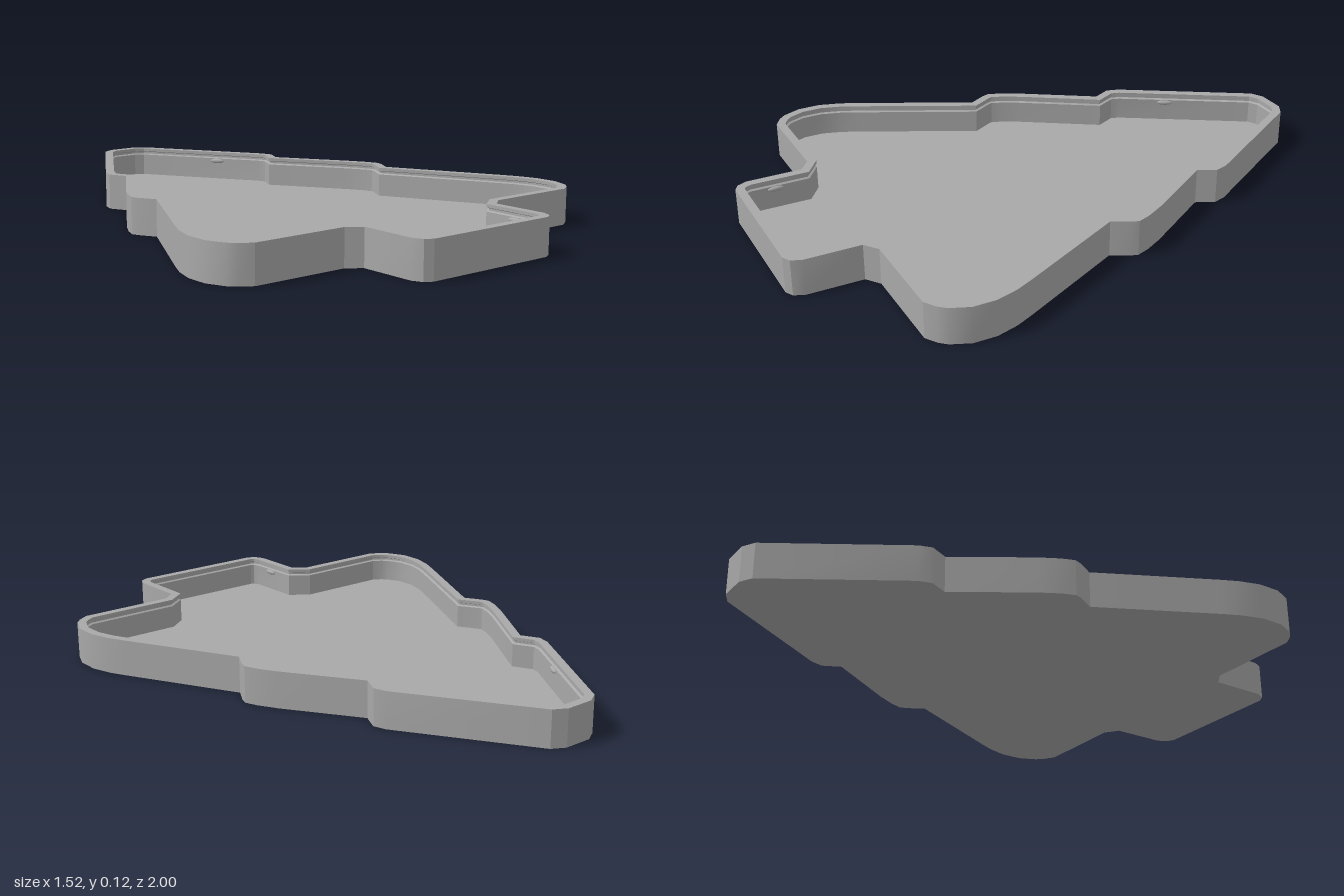
import * as THREE from 'three';
import { toCreasedNormals } from 'three/addons/utils/BufferGeometryUtils.js';

// Right half of the tree outline as [x, z], from tip to trunk base
const HALF = [
  [0.05, -1], [0.095, -0.975], [0.362, -0.545], [0.375, -0.5], [0.345, -0.437],
  [0.505, -0.19], [0.54, -0.125], [0.556, -0.08], [0.548, -0.055], [0.515, 0.005],
  [0.71, 0.39], [0.738, 0.45], [0.76, 0.525], [0.76, 0.605], [0.733, 0.67], [0.71, 0.695], [0.67, 0.72],
  [0.335, 0.72], [0.287, 0.755], [0.287, 0.95], [0.272, 0.985], [0.245, 1],
];

// Full outline in plan (y = -z), counter-clockwise
const OUTLINE = [
  ...HALF.map(([x, z]) => new THREE.Vector2(-x, -z)),
  ...HALF.slice().reverse().map(([x, z]) => new THREE.Vector2(x, -z)),
];

// Moves the outline inward by d with mitred corners
function inset(d) {
  const n = OUTLINE.length;
  const normal = (a, b) => new THREE.Vector2(a.y - b.y, b.x - a.x).normalize();
  return OUTLINE.map((p, i) => {
    const n1 = normal(OUTLINE[(i + n - 1) % n], p);
    const n2 = normal(p, OUTLINE[(i + 1) % n]);
    const m = n1.clone().add(n2);
    return p.clone().addScaledVector(m, d / (1 + n1.dot(n2)));
  });
}

// Sweeps a profile of [inset, height] pairs around the outline
function sweep(profile) {
  const rings = profile.map(([d, y]) => inset(d).map((p) => [p.x, y, -p.y]));
  const pos = [];
  const n = OUTLINE.length;
  for (let k = 0; k < rings.length - 1; k++) {
    for (let i = 0; i < n; i++) {
      const j = (i + 1) % n;
      const a = rings[k][i], b = rings[k][j], c = rings[k + 1][j], e = rings[k + 1][i];
      pos.push(...a, ...b, ...c, ...a, ...c, ...e);
    }
  }
  const g = new THREE.BufferGeometry();
  g.setAttribute('position', new THREE.Float32BufferAttribute(pos, 3));
  return toCreasedNormals(g, 0.5);
}

export function createModel() {
  const group = new THREE.Group();
  group.name = 'treeTray';
  const grey = new THREE.MeshStandardMaterial({ color: 0xa8a8a8 });
  grey.name = 'plain grey';

  const H = 0.125, WALL = 0.03, FLOOR = 0.02;
  const add = (name, geometry) => {
    const mesh = new THREE.Mesh(geometry, grey);
    mesh.name = name;
    group.add(mesh);
    return mesh;
  };

  // Wall with a shallow snap groove beneath the rim
  add('wall', sweep([
    [0, 0], [0, H], [WALL, H], [WALL, 0.114],
    [0.023, 0.111], [0.023, 0.104], [WALL, 0.1], [WALL, FLOOR],
  ]));

  // Floor, upper and lower faces
  const top = add('floor', new THREE.ShapeGeometry(new THREE.Shape(inset(WALL))));
  top.rotation.x = -Math.PI / 2;
  top.position.y = FLOOR;
  const base = new THREE.ShapeGeometry(new THREE.Shape(OUTLINE.map((p) => new THREE.Vector2(p.x, -p.y)).reverse()));
  add('underside', base).rotation.x = Math.PI / 2;

  // Small oval snap bumps inside the trunk and the top tier
  const bump = new THREE.SphereGeometry(1, 16, 10);
  for (const side of [-1, 1]) {
    for (const [name, x, z, angle] of [['trunkBump', 0.257, 0.86, 0], ['topTierBump', 0.242, -0.68, 0.555]]) {
      const mesh = add(name, bump);
      mesh.scale.set(0.008, 0.009, 0.028);
      mesh.position.set(side * x, 0.09, z);
      mesh.rotation.y = side * angle;
    }
  }
  return group;
}
